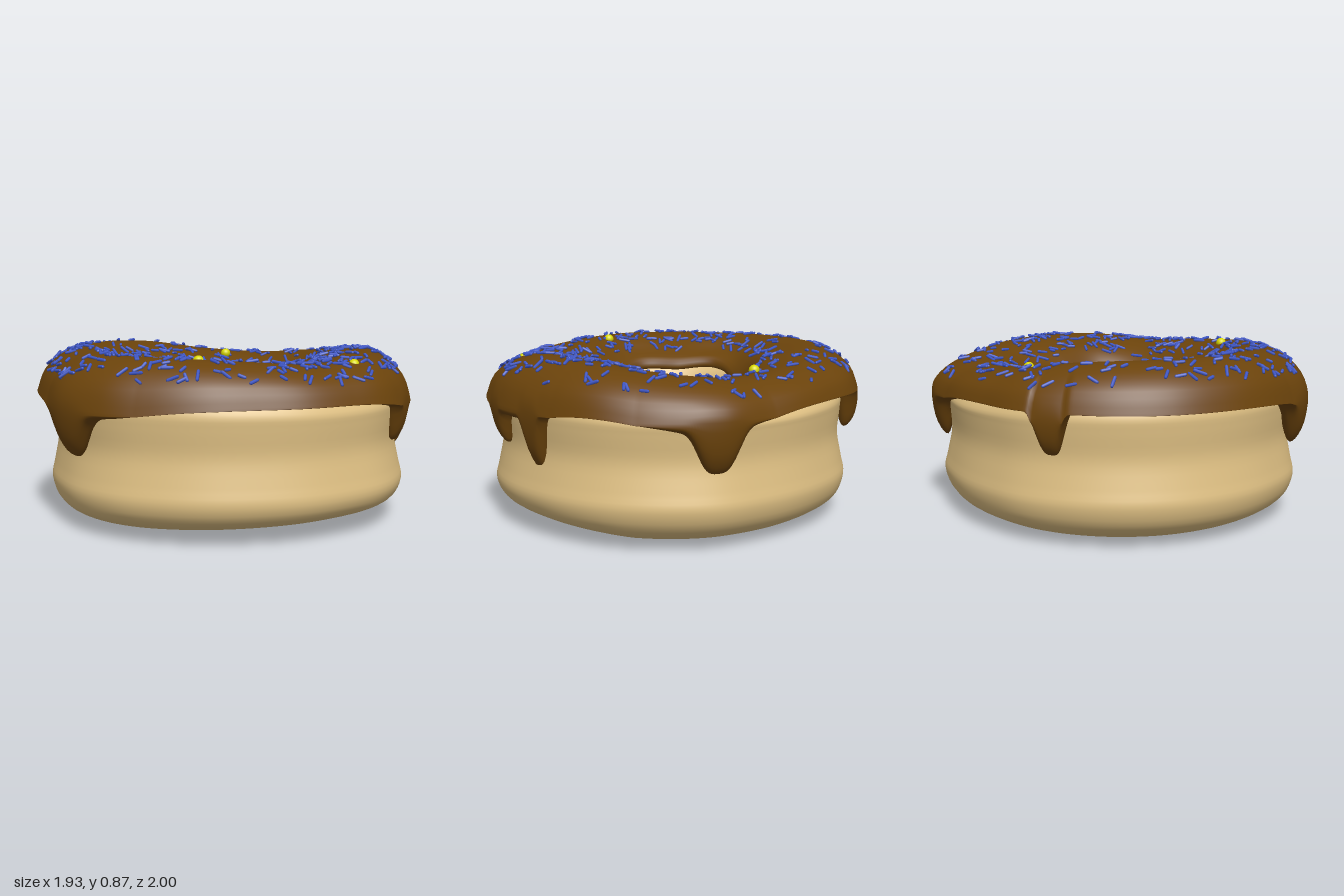
import * as THREE from 'three';
import { mergeGeometries } from 'three/addons/utils/BufferGeometryUtils.js';

const TAU = Math.PI * 2;
const V2 = (p) => new THREE.Vector2(p[0], p[1]);

// Smooth periodic value from evenly spaced samples around the ring
function around(samples, a) {
  const n = samples.length;
  const t = (((a / TAU) % 1) + 1) % 1 * n;
  const i = Math.floor(t), f = t - i;
  const s = (k) => samples[(i + k + n) % n];
  const v0 = (s(1) - s(-1)) / 2, v1 = (s(2) - s(0)) / 2;
  return s(0) + v0 * f + (3 * (s(1) - s(0)) - 2 * v0 - v1) * f * f +
    (2 * (s(0) - s(1)) + v0 + v1) * f * f * f;
}

// Plan outlines of the icing, angle measured from +x towards +z
const OUTER = [0.945, 0.93, 0.915, 0.93, 0.95, 0.985, 0.993, 0.965, 0.965, 0.97, 0.98, 0.975,
  0.96, 0.94, 0.90, 0.895, 0.92, 0.99, 1.0, 0.995, 0.98, 0.97, 0.985, 0.985];
const INNER = [0.35, 0.36, 0.41, 0.37, 0.42, 0.36, 0.32, 0.305, 0.325, 0.375, 0.33, 0.345];
// Heights of the inner lip and of the crown
const LIP = [0.61, 0.64, 0.68, 0.68, 0.69, 0.62, 0.58, 0.56, 0.59, 0.66, 0.61, 0.59];
const CROWN = [0.82, 0.84, 0.857, 0.857, 0.86, 0.86, 0.845, 0.795, 0.775, 0.805, 0.845, 0.85];

// Drips: angle in degrees, half width, depth, sharpness
const DRIPS = [
  [82, 24, 0.06, 2], [90, 8.7, 0.19, 3.4],
  [322, 20, 0.075, 2], [333, 3.5, 0.155, 4], [313.5, 3.7, 0.225, 4],
  [258, 22, 0.08, 2], [256, 6.8, 0.175, 3.4],
  [184, 4.4, 0.19, 4],
];
function icingEdge(a) {
  let y = 0.64;
  for (const [deg, w, depth, p] of DRIPS) {
    const d = Math.abs(((a * 360 / TAU - deg + 540) % 360 + 360) % 360 - 180);
    y -= depth * Math.exp(-Math.pow(d / w, p));
  }
  return y;
}

// Icing cross-section: inner lip, crown, outer rim, drip tip, underside
function icingProfile(a) {
  const ro = around(OUTER, a), ri = around(INNER, a), yi = around(LIP, a);
  const top = around(CROWN, a);
  const ye = icingEdge(a), ys = Math.max(0.625, ye + 0.02);
  const drop = ys - ye, rise = top - ys;
  // the rim curls under, drips hang nearly straight
  const tip = ro - 0.17 * drop - 0.016 - 0.025 * Math.max(0, 1 - drop / 0.12);
  return [
    [ri + 0.04, yi + 0.01], [ri + 0.005, yi], [ri + 0.012, yi + 0.05],
    [ri + 0.11, top - 0.078], [0.5 * ri + 0.5 * ro - 0.06, top - 0.017],
    [0.76 * ro, top], [0.875 * ro, ys + 0.82 * rise], [0.962 * ro, ys + 0.46 * rise],
    [ro, ys], [ro - 0.06 * drop, ys - drop * 0.6], [tip, ye + 0.006],
    [tip - 0.034, ye + 0.004], [tip - 0.062, ye + drop * 0.5 + 0.01],
    [ro - 0.1, ys + 0.03], [0.8, top - 0.14], [0.6, top - 0.11], [ri + 0.1, top - 0.18],
  ].map(V2);
}

// Dough cross-section: hole, hidden top, waist, bulge, base
const DOUGH = new THREE.SplineCurve([
  [0.49, 0.06], [0.395, 0.15], [0.327, 0.28], [0.318, 0.42], [0.348, 0.52], [0.375, 0.61],
  [0.425, 0.695], [0.55, 0.755], [0.7, 0.77], [0.82, 0.72], [0.88, 0.63], [0.882, 0.55],
  [0.872, 0.42], [0.895, 0.29], [0.91, 0.2], [0.87, 0.1], [0.76, 0.035], [0.64, 0.004],
  [0.57, 0.016], [0.49, 0.06],
].map(V2));

function doughPoint(a, u) {
  const p = DOUGH.getPoint(u);
  const r = p.x + Math.max(0, (p.x - 0.6) / 0.3) * 0.5 * (around(OUTER, a) - 0.95);
  const lift = 0.05 * Math.max(0, Math.cos(a - 0.2)) * Math.max(0, 1 - p.y / 0.2);
  const sag = Math.max(0, (p.y - 0.55) / 0.2) * (0.86 - around(CROWN, a));
  return new THREE.Vector3(r * Math.cos(a) + 0.02, Math.max(0, p.y) + lift - sag,
    r * Math.sin(a) + 0.03 - 0.06 * (p.x - 0.3));
}

const onRing = (p, a) => new THREE.Vector3(p.x * Math.cos(a), p.y, p.x * Math.sin(a));

// Closed ring surface; section(a) returns the points of one cross-section
function ringGeometry(segments, section) {
  const pos = [], index = [];
  let m = 0;
  for (let i = 0; i < segments; i++) {
    const pts = section(i / segments * TAU);
    m = pts.length;
    pts.forEach((p) => pos.push(p.x, p.y, p.z));
  }
  for (let i = 0; i < segments; i++) {
    for (let j = 0; j < m; j++) {
      const i2 = (i + 1) % segments, j2 = (j + 1) % m;
      const A = i * m + j, B = i2 * m + j, C = i * m + j2, D = i2 * m + j2;
      index.push(A, B, C, B, D, C);
    }
  }
  const g = new THREE.BufferGeometry();
  g.setAttribute('position', new THREE.Float32BufferAttribute(pos, 3));
  g.setIndex(index);
  g.computeVertexNormals();
  return g;
}

function seeded(seed) {
  return () => {
    seed = (seed + 0x6d2b79f5) | 0;
    let t = Math.imul(seed ^ (seed >>> 15), 1 | seed);
    t = (t + Math.imul(t ^ (t >>> 7), 61 | t)) ^ t;
    return ((t ^ (t >>> 14)) >>> 0) / 4294967296;
  };
}

// Small rods lying on the crown of the icing in random directions
function sprinkleGeometry(count) {
  const rnd = seeded(17), rods = [];
  const at = (a, u) => onRing(new THREE.SplineCurve(icingProfile(a)).getPoint(u), a);
  const up = new THREE.Vector3(0, 1, 0);
  while (rods.length < count) {
    const a = rnd() * TAU;
    const u = (3 + 3.7 * rnd()) / 16;
    // sparser on the low side of the crown
    if (rnd() < 0.6 * Math.max(0, Math.cos(a - 3.9))) continue;
    const p = at(a, u);
    const du = at(a, u + 0.004).sub(p).normalize();
    const da = at(a + 0.01, u).sub(p).normalize();
    const n = new THREE.Vector3().crossVectors(da, du).normalize();
    const turn = rnd() * TAU;
    const dir = du.multiplyScalar(Math.cos(turn)).addScaledVector(da, Math.sin(turn))
      .addScaledVector(n, (rnd() - 0.5) * 0.5).normalize();
    const rod = new THREE.CapsuleGeometry(0.008, 0.02 + 0.035 * rnd(), 2, 6);
    rod.applyQuaternion(new THREE.Quaternion().setFromUnitVectors(up, dir));
    p.addScaledVector(n, 0.005);
    rods.push(rod.translate(p.x, p.y, p.z));
  }
  return mergeGeometries(rods);
}

export function createModel() {
  const model = new THREE.Group();
  model.name = 'doughnut';
  const add = (name, geometry, color) => {
    const mesh = new THREE.Mesh(geometry, new THREE.MeshStandardMaterial({ color }));
    mesh.name = name;
    model.add(mesh);
    return mesh;
  };

  // Dough ring
  add('dough', ringGeometry(128, (a) =>
    Array.from({ length: 76 }, (_, j) => doughPoint(a, j / 76))), 0xe0c184);

  // Icing with drips
  add('icing', ringGeometry(480, (a) => {
    const pts = icingProfile(a);
    const curve = new THREE.SplineCurve([...pts, pts[0]]);
    return Array.from({ length: 51 }, (_, j) => onRing(curve.getPoint(j / 51), a));
  }), 0x6b430b);

  // Toppings
  add('sprinkles', sprinkleGeometry(440), 0x4058c8);
  for (const [x, y, z] of [[-0.4, 0.775, -0.35], [0.77, 0.81, -0.18], [0.4, 0.84, 0.48]]) {
    add('sugarBall', new THREE.SphereGeometry(0.027, 20, 14), 0xd8d800).position.set(x, y, z);
  }
  return model;
}
